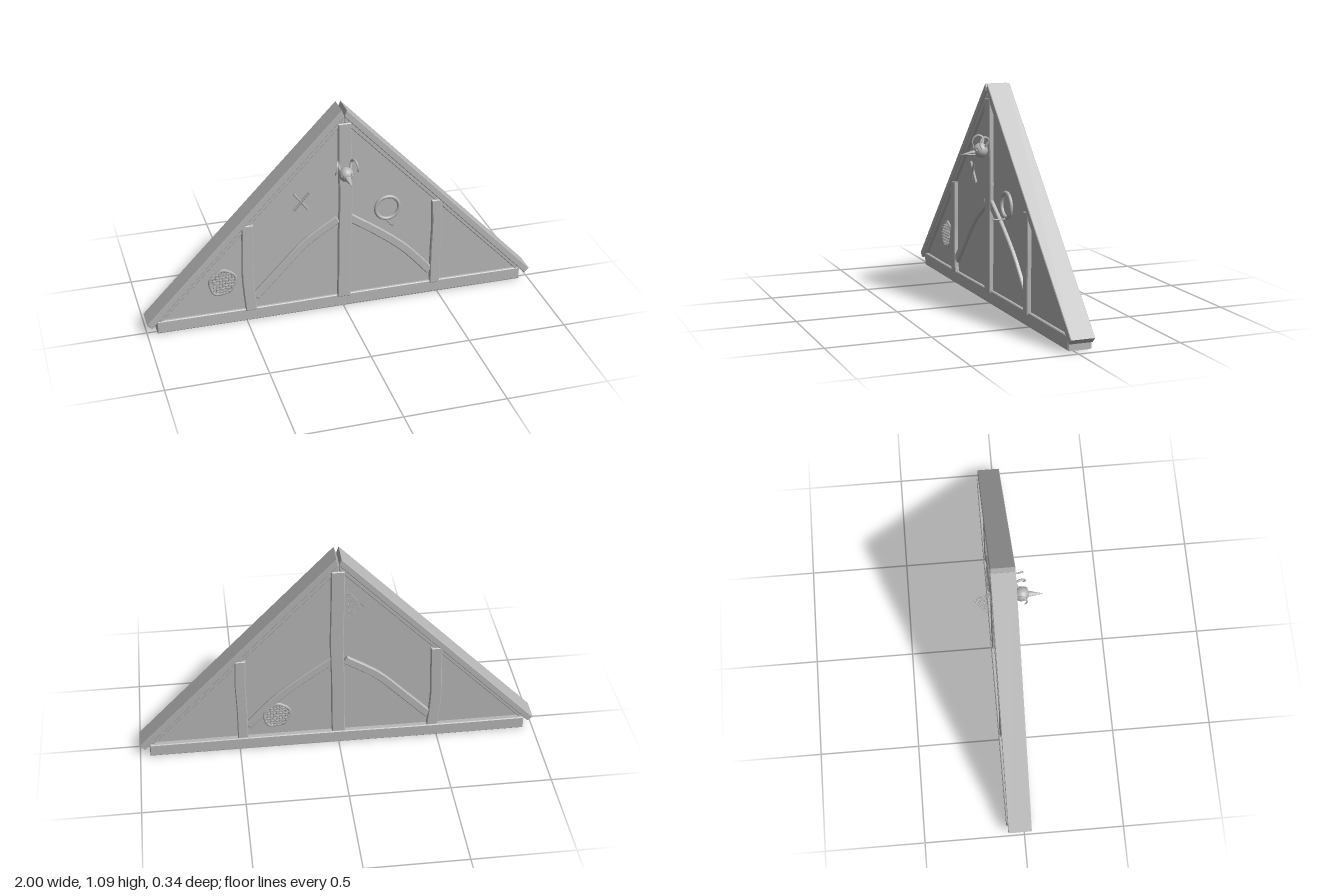
import * as THREE from 'three';

const stone = new THREE.MeshStandardMaterial({ color: 0xb8b8b8, side: THREE.DoubleSide });
stone.name = 'plain grey';

const V = (x, y, z) => new THREE.Vector3(x, y, z);

function add(parent, name, geometry) {
  const mesh = new THREE.Mesh(geometry, stone);
  mesh.name = name;
  parent.add(mesh);
  return mesh;
}

// Extrude an outline between two depths, with a small chamfer
function slab(outline, z0, z1, bevel = 0.004) {
  const geo = new THREE.ExtrudeGeometry(new THREE.Shape(outline), {
    depth: z1 - z0 - 2 * bevel, bevelEnabled: bevel > 0, bevelThickness: bevel,
    bevelSize: bevel, bevelOffset: -bevel, bevelSegments: 1,
  });
  return geo.translate(0, 0, z0 + bevel);
}

// Hand-hewn timber: a constant width swept along a gently bent centre line
function timber(points, width, z0, z1) {
  const curve = new THREE.SplineCurve(points.map(p => new THREE.Vector2(...p)));
  const left = [], right = [], n = 10;
  for (let i = 0; i <= n; i++) {
    const p = curve.getPoint(i / n), t = curve.getTangent(i / n);
    const side = new THREE.Vector2(-t.y, t.x).multiplyScalar(width / 2);
    left.push(p.clone().add(side));
    right.unshift(p.clone().sub(side));
  }
  return slab([...left, ...right].reverse(), z0, z1);
}

function tube(points, radius, segments = 12, closed = false, sides = 6) {
  return new THREE.TubeGeometry(new THREE.CatmullRomCurve3(points, closed), segments, radius, sides, closed);
}

// Thin straight stick between two points
function stick(a, b, radius, sides = 5) {
  return new THREE.TubeGeometry(new THREE.LineCurve3(a, b), 1, radius, sides);
}

// Broken plaster patch showing woven lattice inside a rough rim
function wovenPatch(cx, cy, z, facing, name) {
  const g = new THREE.Group();
  g.name = name;
  const radius = a => 0.061 + 0.005 * Math.sin(2 * a + 0.6) + 0.003 * Math.sin(5 * a);
  const rim = [];
  for (let i = 0; i < 20; i++) {
    const a = i / 20 * Math.PI * 2;
    rim.push(V(Math.cos(a) * radius(a), Math.sin(a) * radius(a) * 1.1, 0.003));
  }
  add(g, 'patchRim', tube(rim, 0.008, 48, true));
  for (let i = -3; i <= 3; i++) {
    const o = i * 0.0155, h = Math.sqrt(0.06 ** 2 - o * o);
    const rod = [], stake = [];
    for (let k = 0; k <= 8; k++) {
      const s = (k / 4 - 1) * h;
      rod.push(V(s, o, 0.008 + 0.004 * Math.cos(k * Math.PI + i * Math.PI)));
      stake.push(V(o, s * 1.08, 0.008));
    }
    add(g, 'wovenRod', tube(rod, 0.004, 20, false, 5));
    add(g, 'latticeStake', tube(stake, 0.0035, 8, false, 5));
  }
  g.position.set(cx, cy, z);
  if (facing < 0) g.rotation.y = Math.PI;
  return g;
}

// Horned bird skull mounted on the king post
function birdSkull() {
  const g = new THREE.Group();
  g.name = 'hornedSkull';
  const cranium = add(g, 'cranium', new THREE.SphereGeometry(0.036, 24, 16));
  cranium.position.set(0, 0.767, 0.066);
  for (const [name, y, tilt, length, r] of [['upperBeak', 0.764, 0.16, 0.095, 0.019], ['lowerBeak', 0.749, 0.02, 0.075, 0.013]]) {
    const beak = new THREE.ConeGeometry(r, length, 14);
    beak.translate(0, length / 2, 0).rotateX(Math.PI / 2).scale(1, 0.6, 1);
    const m = add(g, name, beak);
    m.position.set(0, y, 0.08);
    m.rotation.x = tilt;
  }
  for (const s of [-1, 1]) {
    // Horn tube narrowed towards its tip
    const path = [V(s * 0.026, 0.785, 0.05), V(s * 0.036, 0.822, 0.04), V(s * 0.043, 0.835, 0.06),
      V(s * 0.05, 0.823, 0.081), V(s * 0.054, 0.798, 0.089), V(s * 0.057, 0.778, 0.078)];
    const curve = new THREE.CatmullRomCurve3(path);
    const horn = new THREE.TubeGeometry(curve, 24, 0.008, 8);
    const pos = horn.attributes.position;
    for (let i = 0; i < pos.count; i++) {
      const t = Math.floor(i / 9) / 24, c = curve.getPointAt(t);
      const p = V(0, 0, 0).fromBufferAttribute(pos, i).sub(c).multiplyScalar(1 - 0.65 * t).add(c);
      pos.setXYZ(i, p.x, p.y, p.z);
    }
    add(g, 'horn', horn);
    const eye = add(g, 'eyeRim', new THREE.TorusGeometry(0.008, 0.003, 6, 14));
    eye.position.set(s * 0.024, 0.775, 0.091);
    eye.rotation.y = s * 0.75;
  }
  return g;
}

// Cobweb strung across the corner behind the king post
function cobweb() {
  const g = new THREE.Group();
  g.name = 'cobweb';
  const apex = V(-0.04, 0.92, -0.085), ends = [];
  for (let i = 0; i <= 5; i++) {
    const t = i / 5;
    ends.push(V(-0.12 + 0.08 * t, 0.82 + 0.008 * t - 0.008 * Math.sin(t * Math.PI), -0.09 - 0.08 * t));
  }
  ends.forEach((e, i) => {
    add(g, 'webSpoke', stick(apex, e, 0.0009, 3));
    if (i === 0) return;
    for (const f of [0.4, 0.55, 0.7, 0.82, 0.94]) {
      add(g, 'webThread', stick(apex.clone().lerp(ends[i - 1], f), apex.clone().lerp(e, f), 0.0008, 3));
    }
  });
  return g;
}

export function createModel() {
  const model = new THREE.Group();
  model.name = 'timberGable';

  // Plaster infill
  const v2 = (x, y) => new THREE.Vector2(x, y);
  add(model, 'plasterWall', slab([v2(-0.95, 0.05), v2(0.95, 0.05), v2(0, 1.045)], -0.062, 0.014, 0));

  // Roof boards with a narrow inner trim on each slope
  for (const s of [-1, 1]) {
    const flip = pts => (s > 0 ? pts : pts.reverse()).map(([x, y]) => v2(s * x, y));
    add(model, 'roofBoard', slab(flip([[0.976, 0.04], [1, 0.064], [0.012, 1.09], [-0.012, 1.066]].map(
      ([x, y]) => [Math.max(x, 0), x < 0 ? 1.055 : y])), -0.081, 0.037, 0.003));
    add(model, 'roofTrim', slab(flip([[0.925, 0.07], [0.96, 0.07], [0, 1.06], [0, 1.025]]), -0.076, 0.03, 0.003));
  }

  // Sill beam
  add(model, 'sillBeam', timber([[-0.95, 0.037], [-0.4, 0.035], [0.2, 0.039], [0.95, 0.037]], 0.066, -0.088, 0.028));
  add(model, 'sillFoot', new THREE.BoxGeometry(1.89, 0.02, 0.1)).position.set(0, 0.01, -0.03);

  // Posts and curved braces, showing on both faces
  const frame = [
    ['kingPost', 0.066, [[0.004, 1.02], [0.006, 0.8], [0.01, 0.6], [0.004, 0.4], [0.004, 0.25], [0.001, 0.06]]],
    ['rightPost', 0.056, [[-0.484, 0.54], [-0.486, 0.4], [-0.49, 0.25], [-0.476, 0.06]]],
    ['leftPost', 0.052, [[0.48, 0.54], [0.486, 0.4], [0.482, 0.25], [0.482, 0.06]]],
    ['rightBrace', 0.042, [[-0.455, 0.13], [-0.32, 0.27], [-0.19, 0.4], [-0.03, 0.505]]],
    ['leftBrace', 0.042, [[0.03, 0.505], [0.18, 0.4], [0.32, 0.285], [0.455, 0.135]]],
  ];
  for (const [name, width, path] of frame) {
    const depth = name.endsWith('Brace') ? 0.004 : 0;
    add(model, name, timber(path, width, -0.082 + depth, 0.035 - depth));
  }

  // Crossed sticks
  for (const s of [-1, 1]) {
    add(model, 'crossedStick', stick(V(-0.215 - s * 0.036, 0.58, 0.02), V(-0.215 + s * 0.036, 0.675, 0.026 + s * 0.006), 0.006));
  }

  // Hanging ring and the bent peg below it
  add(model, 'wallRing', new THREE.TorusGeometry(0.06, 0.009, 8, 40)).position.set(0.225, 0.53, 0.022);
  add(model, 'bentPeg', tube([V(0.222, 0.463, 0.01), V(0.225, 0.463, 0.05), V(0.227, 0.464, 0.08), V(0.23, 0.468, 0.098)], 0.004));

  model.add(wovenPatch(-0.615, 0.235, 0.014, 1, 'frontWovenPatch'));
  model.add(wovenPatch(0.31, 0.195, -0.07, -1, 'backWovenPatch'));
  model.add(birdSkull());
  model.add(cobweb());
  return model;
}
